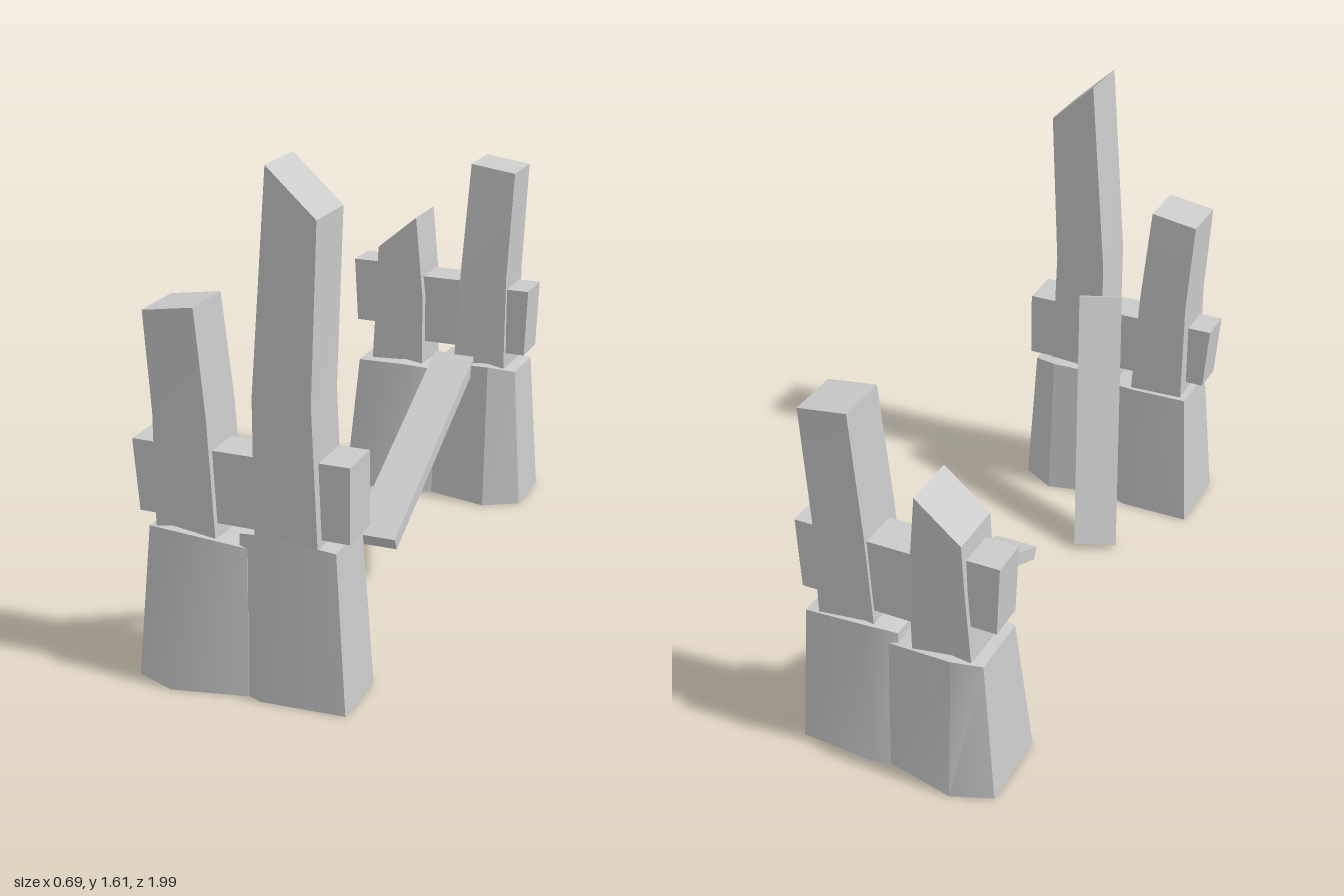
import * as THREE from 'three';
import { toCreasedNormals } from 'three/addons/utils/BufferGeometryUtils.js';

const stone = new THREE.MeshStandardMaterial({ color: 0xcccccc });

// Closed solid through a stack of rings, each a list of [x, y, z] from bottom to top
function loft(name, rings) {
  const n = rings[0].length;
  const area = rings[0].reduce((s, p, i) => {
    const q = rings[0][(i + 1) % n];
    return s + p[0] * q[2] - q[0] * p[2];
  }, 0);
  if (area > 0) rings = rings.map(r => [...r].reverse());
  const index = [];
  const last = (rings.length - 1) * n;
  for (let k = 0; k < rings.length - 1; k++) {
    for (let i = 0; i < n; i++) {
      const a = k * n + i, b = k * n + (i + 1) % n;
      index.push(a, b, b + n, a, b + n, a + n);
    }
  }
  for (let i = 1; i < n - 1; i++) {
    index.push(0, i + 1, i, last, last + i, last + i + 1);
  }
  const geo = new THREE.BufferGeometry();
  geo.setAttribute('position', new THREE.Float32BufferAttribute(rings.flat(2), 3));
  geo.setIndex(index);
  const mesh = new THREE.Mesh(toCreasedNormals(geo, 0.6), stone);
  mesh.name = name;
  return mesh;
}

// Four-cornered ring; yA is the height at xA, yB the height at xB
const rect = (xA, xB, zA, zB, yA, yB = yA) =>
  [[xA, yA, zA], [xB, yB, zA], [xB, yB, zB], [xA, yA, zB]];

// Six-sided foundation block, side = 1 or -1 flips it front to back
function base(name, side, bottom, top) {
  return loft(name, [
    bottom.map(([x, z]) => [x, 0, z * side]),
    top.map(([x, z, y]) => [x, y, z * side]),
  ]);
}

function foundations(side) {
  return [
    base('rightBase', side,
      [[-0.33, 0.67], [-0.33, 0.945], [-0.2, 0.995], [0.03, 0.945], [0.03, 0.72], [-0.08, 0.67]],
      [[-0.29, 0.71, 0.49], [-0.29, 0.925, 0.49], [-0.2, 0.962, 0.505],
        [0.03, 0.925, 0.47], [0.03, 0.73, 0.48], [-0.1, 0.69, 0.5]]),
    base('leftBase', side,
      [[0.343, 0.945], [0.343, 0.725], [0.223, 0.655], [-0.01, 0.71], [-0.01, 0.925], [0.08, 0.96]],
      [[0.31, 0.93, 0.505], [0.31, 0.735, 0.51], [0.22, 0.69, 0.53],
        [0, 0.73, 0.51], [0, 0.915, 0.51], [0.1, 0.945, 0.53]]),
  ];
}

// Stout pillar with a nearly level top, dir = 1 or -1 sets the side it stands on
const stoutPillar = (name, dir, side, outerY, innerY) => loft(name, [
  rect(dir * 0.267, dir * 0.072, side * 0.73, side * 0.925, 0.45),
  rect(dir * 0.265, dir * 0.092, side * 0.742, side * 0.928, 0.85),
  rect(dir * 0.282, dir * 0.12, side * 0.76, side * 0.935, outerY, innerY),
]);

// Pillar with a steeply broken top, highest on its inner edge
const brokenPillar = (name, dir, side, midY, outerY, innerY, xOut, xIn) => loft(name, [
  rect(dir * 0.255, dir * 0.055, side * 0.747, side * 0.93, 0.45),
  rect(dir * 0.238, dir * 0.057, side * 0.75, side * 0.935, midY),
  rect(dir * xOut, dir * xIn, side * 0.757, side * 0.943, outerY, innerY),
]);

// Short tie block
const block = (name, xA, xB, zA, zB, y0, y1, flare = 0) => loft(name, [
  rect(xA, xB, zA, zB, y0), rect(xA + flare, xB, zA, zB, y1)]);

// Fallen plank
function plank(name, position, pitch, yaw) {
  const mesh = new THREE.Mesh(new THREE.BoxGeometry(0.152, 0.907, 0.047), stone);
  mesh.name = name;
  mesh.position.set(...position);
  mesh.rotation.set(pitch, yaw, 0, 'YXZ');
  return mesh;
}

export function createModel() {
  const model = new THREE.Group();
  model.name = 'ruinedGateways';

  const front = new THREE.Group();
  front.name = 'frontRuin';
  front.add(
    ...foundations(1),
    stoutPillar('stoutPillar', -1, 1, 1.16, 1.185),
    brokenPillar('tallBrokenPillar', 1, 1, 0.94, 1.475, 1.613, 0.263, 0.113),
    block('rightStub', -0.33, -0.24, 0.785, 0.905, 0.525, 0.75, -0.018),
    block('middleTie', -0.11, 0.08, 0.775, 0.905, 0.525, 0.75),
    block('leftStub', 0.34, 0.22, 0.75, 0.9, 0.525, 0.76),
    plank('leaningPlank', [-0.02, 0.425, 0.549], 0.415, 0.396),
  );

  const back = new THREE.Group();
  back.name = 'backRuin';
  back.add(
    ...foundations(-1),
    stoutPillar('stoutPillar', 1, -1, 1.24, 1.262),
    brokenPillar('shortBrokenPillar', -1, -1, 0.75, 0.92, 1.045, 0.235, 0.088),
    block('rightStub', -0.33, -0.22, -0.915, -0.79, 0.62, 0.855, -0.012),
    block('middleTie', -0.08, 0.1, -0.915, -0.78, 0.57, 0.82),
    block('leftStub', 0.335, 0.23, -0.9, -0.757, 0.57, 0.812, 0.01),
    plank('fallenPlank', [0.08, 0.335, -0.337], -1.127, 0.01),
  );

  model.add(front, back);
  return model;
}
